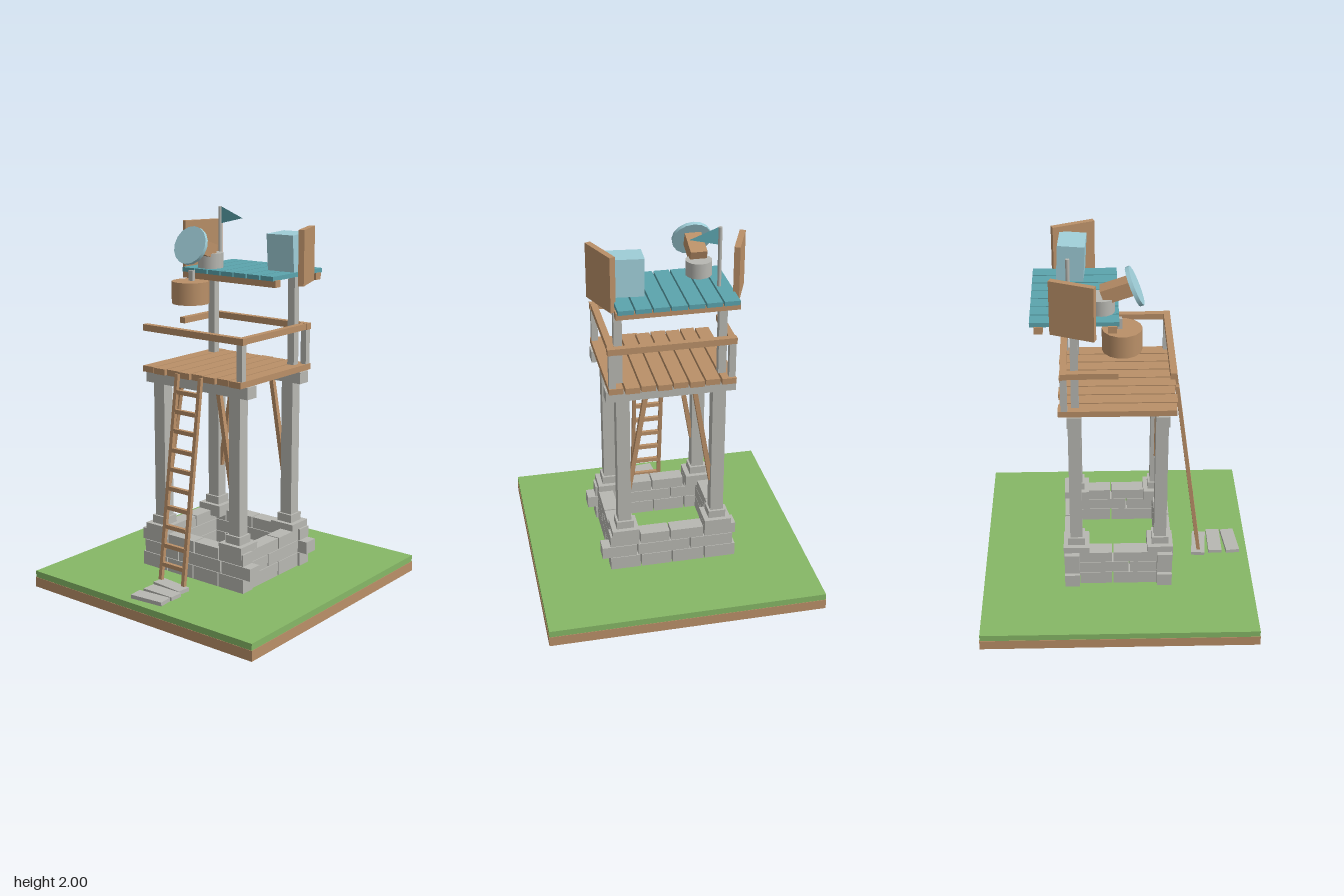
import * as THREE from 'three';

const mat = (name, color) => {
  const m = new THREE.MeshStandardMaterial({ color });
  m.name = name;
  return m;
};

export function createModel() {
  const green = mat('grass', 0x86b866), wood = mat('wood', 0xba9068), stone = mat('stone', 0xb8b8b2);
  const teal = mat('teal', 0x5ba4ad), blue = mat('paleBlue', 0x9fced8);
  const flagTeal = mat('flagTeal', 0x5ba4ad);
  flagTeal.side = THREE.DoubleSide;

  const model = new THREE.Group();
  model.name = 'watchtower';
  const group = (name) => {
    const g = new THREE.Group();
    g.name = name;
    model.add(g);
    return g;
  };
  const add = (parent, name, geo, material, x, y, z, rx = 0, ry = 0, rz = 0) => {
    const m = new THREE.Mesh(geo, material);
    m.name = name;
    m.position.set(x, y, z);
    m.rotation.set(rx, ry, rz);
    parent.add(m);
    return m;
  };
  // box given by its extents on each axis
  const span = (parent, name, material, x0, x1, y0, y1, z0, z1) =>
    add(parent, name, new THREE.BoxGeometry(x1 - x0, y1 - y0, z1 - z0), material,
      (x0 + x1) / 2, (y0 + y1) / 2, (z0 + z1) / 2);
  // square bar between two points
  const bar = (parent, name, material, a, b, w, d = w) => {
    const p = new THREE.Vector3(...a), q = new THREE.Vector3(...b), dir = q.clone().sub(p);
    const m = add(parent, name, new THREE.BoxGeometry(w, dir.length(), d), material, 0, 0, 0);
    m.position.copy(p).add(q).multiplyScalar(0.5);
    m.quaternion.setFromUnitVectors(new THREE.Vector3(0, 1, 0), dir.normalize());
  };

  // Ground slab
  const ground = group('ground');
  span(ground, 'soil', wood, -0.735, 0.735, 0, 0.055, -0.735, 0.735);
  span(ground, 'grass', green, -0.733, 0.733, 0.055, 0.09, -0.733, 0.733);

  // Stepping stones
  const steps = group('steppingStones');
  [[-0.003, 0.462, -0.1], [0.015, 0.552, 0], [0.015, 0.643, 0.1]].forEach(([x, z, r]) =>
    add(steps, 'steppingStone', new THREE.BoxGeometry(0.19, 0.025, 0.075), stone, x, 0.098, z, 0, r));

  // Ring of stone courses
  const wall = group('stoneWall');
  const courses = [
    [0.09, 0.165, [-0.355, -0.18, 0, 0.17, 0.34]],
    [0.168, 0.235, [-0.34, -0.1, 0.19, 0.385]],
    [0.238, 0.3, [-0.355, -0.175, 0.01, 0.175, 0.34]],
  ];
  courses.forEach(([y0, y1, cuts], row) => {
    for (const s of [-1, 1]) {
      for (let i = 0; i < cuts.length - 1; i++) {
        span(wall, 'wallBlock', stone, cuts[i] + 0.004, cuts[i + 1] - 0.004, y0, y1, s * 0.25 - 0.04, s * 0.25 + 0.04);
      }
      const mid = row % 2 ? 0.06 : -0.03;
      span(wall, 'sideBlock', stone, s * 0.285 - 0.04, s * 0.285 + 0.04, y0, y1, -0.208, mid - 0.004);
      span(wall, 'sideBlock', stone, s * 0.285 - 0.04, s * 0.285 + 0.04, y0, y1, mid + 0.004, 0.208);
    }
  });

  // Legs with footings, cross beams and braces
  const frame = group('towerFrame');
  for (const z of [-0.225, 0.225]) {
    for (const s of [-1, 1]) {
      const x = s * 0.252;
      add(frame, 'leg', new THREE.BoxGeometry(0.07, 0.86, 0.065), stone, x, 0.69, z);
      add(frame, 'footing', new THREE.BoxGeometry(0.145, 0.065, 0.138), stone, x, 0.303, z);
      add(frame, 'collar', new THREE.BoxGeometry(0.092, 0.046, 0.09), stone, x, 0.356, z);
      bar(frame, 'brace', wood, [s * 0.222, 0.56, z], [s * 0.125, 1.13, z], 0.024);
    }
    span(frame, 'crossBeam', stone, -0.338, 0.338, 1.11, 1.172, z - 0.036, z + 0.036);
  }

  // Deck boards
  const deck = group('deck');
  for (let i = 0; i < 8; i++) {
    const x = (i - 3.5) * 0.083, e = i % 2 ? 0.004 : -0.004;
    span(deck, 'deckBoard', wood, x - 0.037, x + 0.037, 1.172, 1.204, -0.3 + e, 0.3 + e);
  }

  // Railing, with the left rail broken off halfway and its front post missing
  const railing = group('railing');
  for (const [x, z] of [[0.308, 0.273], [0.308, -0.273], [-0.308, -0.273]]) {
    span(railing, 'railPost', stone, x - 0.017, x + 0.017, 1.204, 1.39, z - 0.017, z + 0.017);
  }
  for (const z of [-0.273, 0.273]) span(railing, 'rail', wood, -0.33, 0.33, 1.388, 1.422, z - 0.017, z + 0.017);
  span(railing, 'sideRail', wood, 0.291, 0.325, 1.389, 1.421, -0.256, 0.256);
  span(railing, 'brokenRail', wood, -0.325, -0.291, 1.389, 1.421, -0.256, 0.0);

  // Ladder
  const ladder = group('ladder');
  const ladderZ = (y) => 0.31 + (1.195 - y) * 0.136;
  for (const x of [-0.077, 0.077]) {
    bar(ladder, 'ladderRail', wood, [x, 0.12, ladderZ(0.12)], [x, 1.195, ladderZ(1.195)], 0.02, 0.02);
  }
  for (let i = 0; i < 10; i++) {
    const y = 0.205 + i * 0.1;
    add(ladder, 'rung', new THREE.BoxGeometry(0.14, 0.022, 0.02), wood, 0, y, ladderZ(y));
  }

  // Roof on two rear posts
  const roof = group('roof');
  for (const x of [-0.268, 0.268]) span(roof, 'roofPost', stone, x - 0.021, x + 0.021, 1.204, 1.67, -0.238, -0.198);
  for (const z of [-0.028, -0.387]) span(roof, 'roofBeam', wood, -0.306, 0.306, 1.636, 1.672, z - 0.022, z + 0.022);
  for (let i = 0; i < 7; i++) {
    const x = (i - 3) * 0.0865;
    span(roof, 'roofPlank', teal, x - 0.039, x + 0.039, 1.67, 1.693, -0.43, 0.005);
  }

  // Angled side shields
  const shields = group('shields');
  for (const s of [-1, 1]) {
    add(shields, 'shield', new THREE.BoxGeometry(0.03, 0.285, 0.23), wood, s * 0.345, 1.782, -0.22, 0, s * 0.375);
  }

  // Signal lamp: round base, wooden body and tilted disc
  const lamp = group('lamp');
  add(lamp, 'lampBase', new THREE.CylinderGeometry(0.067, 0.067, 0.08, 16), stone, -0.175, 1.732, -0.08);
  add(lamp, 'lampBody', new THREE.BoxGeometry(0.085, 0.075, 0.15), wood, -0.175, 1.803, -0.005, -0.33);
  add(lamp, 'lampDisc', new THREE.CylinderGeometry(0.102, 0.102, 0.02, 16), blue, -0.175, 1.823, 0.082, Math.PI / 2 - 0.4);

  // Hanging barrel
  const barrel = group('hangingBarrel');
  add(barrel, 'barrel', new THREE.CylinderGeometry(0.1, 0.1, 0.118, 14), wood, -0.232, 1.568, 0.02);
  span(barrel, 'hanger', stone, -0.247, -0.219, 1.62, 1.682, -0.002, 0.02);

  // Pale crate on the roof
  add(model, 'crate', new THREE.BoxGeometry(0.175, 0.19, 0.14), blue, 0.227, 1.795, -0.228, 0.05, -0.06, 0.02);

  // Flag and pole
  const flag = group('flag');
  add(flag, 'flagPole', new THREE.CylinderGeometry(0.01, 0.01, 0.35, 8), stone, -0.24, 1.825, -0.24);
  const pennant = new THREE.Shape([
    new THREE.Vector2(0, 0), new THREE.Vector2(0, -0.09), new THREE.Vector2(0.145, -0.055),
  ]);
  add(flag, 'pennant', new THREE.ShapeGeometry(pennant), flagTeal, -0.232, 2.0, -0.24);

  return model;
}
